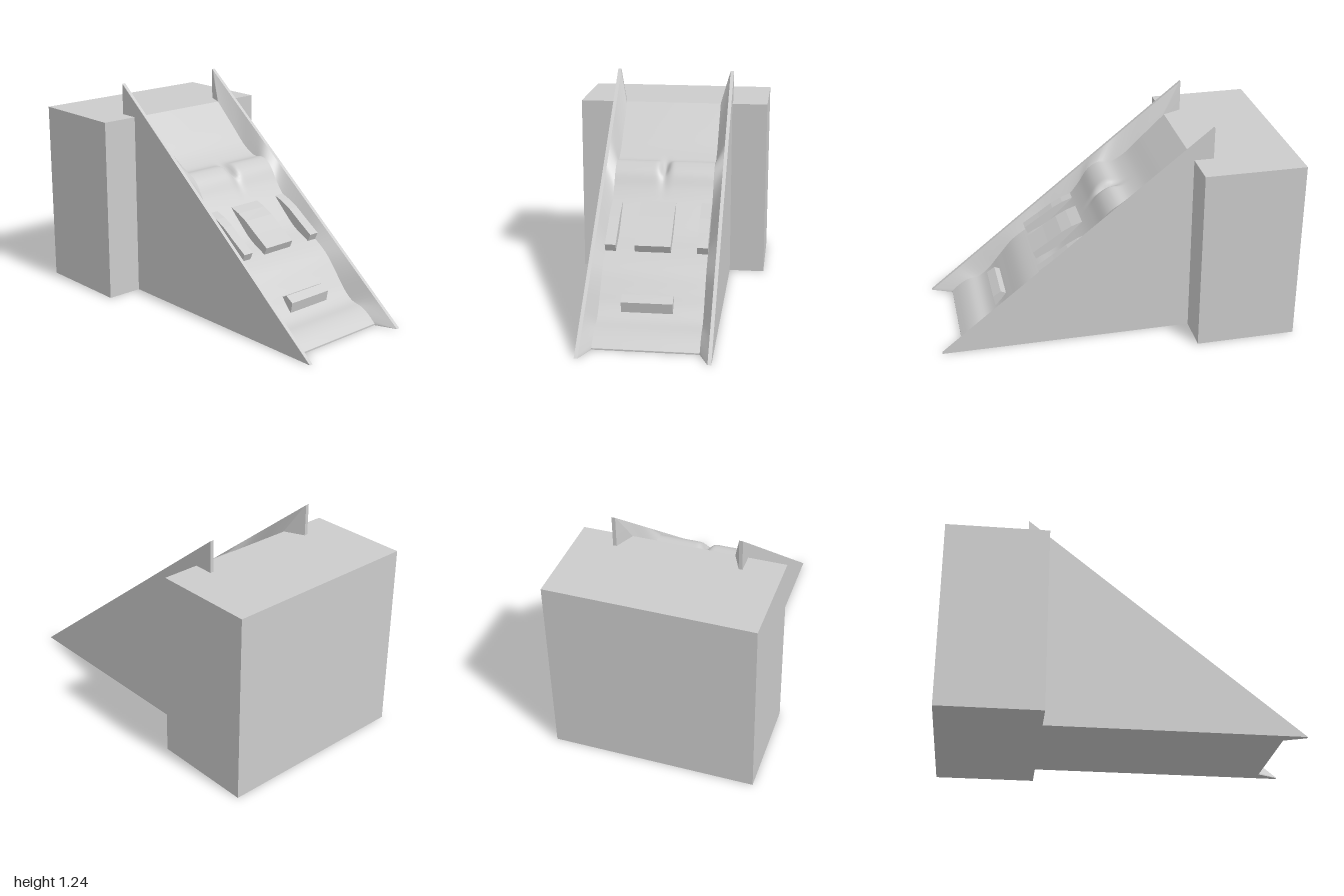
import * as THREE from 'three';

const material = new THREE.MeshStandardMaterial({ color: 0xcccccc, side: THREE.DoubleSide });
const V = (x, y, z = 0) => new THREE.Vector3(x, y, z);
const FLOOR_Z = 0.285, RIM_Z = 0.335, OUTER_Z = 0.355;

function add(group, name, geometry) {
  const mesh = new THREE.Mesh(geometry, material);
  mesh.name = name;
  group.add(mesh);
}

// Grid surface: place(i, j) gives the point in column i, row j
function sheet(cols, rows, place) {
  const g = new THREE.PlaneGeometry(1, 1, cols, rows);
  for (let j = 0; j <= rows; j++)
    for (let i = 0; i <= cols; i++) {
      const p = place(i, j);
      g.attributes.position.setXYZ(j * (cols + 1) + i, p.x, p.y, p.z);
    }
  g.computeVertexNormals();
  return g;
}

// Side profile (x, y) extruded from z0 to z1
function slab(points, z0, z1) {
  const shape = new THREE.Shape(points.map(([x, y]) => new THREE.Vector2(x, y)));
  return new THREE.ExtrudeGeometry(shape, { depth: z1 - z0, bevelEnabled: false }).translate(0, 0, z0);
}

export function createModel() {
  const group = new THREE.Group();

  // Tall block at the top of the slide
  add(group, 'platformBlock', new THREE.BoxGeometry(0.57, 1.06, 1.13).translate(-0.715, 0.53, 0));

  // Wavy slide floor with a small groove through the upper crest
  const curve = new THREE.CatmullRomCurve3([
    [-0.43, 1.06], [-0.3, 0.937], [-0.18, 0.825], [-0.1, 0.785], [-0.03, 0.79], [0.03, 0.755],
    [0.09, 0.665], [0.14, 0.6], [0.21, 0.53], [0.3, 0.45], [0.41, 0.39], [0.5, 0.325],
    [0.585, 0.225], [0.65, 0.145], [0.71, 0.097], [0.78, 0.08], [0.83, 0.052], [0.88, 0.01],
  ].map(([x, y]) => V(x, y)), false, 'centripetal');
  const N = 90;
  const path = curve.getSpacedPoints(N);
  const groove = (x, z) => 0.045 * Math.exp(-(((x + 0.01) / 0.06) ** 2) - ((z / 0.025) ** 2));
  add(group, 'slideFloor', sheet(N, 60, (i, j) => {
    const p = path[i], z = (j / 60 * 2 - 1) * FLOOR_Z;
    return V(p.x, p.y - groove(p.x, z), z);
  }));

  // Sloping inner walls from the floor edge to the straight rim
  const floorEdge = [path[0], ...path, V(0.88, 0)];
  const rim = [V(-0.54, 1.06), ...path.map((p) => {
    const t = (p.x + 0.43) / 1.31;
    return V(-0.54 + 1.54 * t, 1.24 * (1 - t));
  }), V(1, 0)];
  for (const side of [1, -1]) {
    const name = side > 0 ? 'left' : 'right';
    add(group, name + 'InnerWall', sheet(N + 2, 1, (i, j) => {
      const onFloor = (j === 0) === (side > 0);
      const p = (onFloor ? floorEdge : rim)[i];
      return V(p.x, p.y, side * (onFloor ? FLOOR_Z : RIM_Z));
    }));
    // Triangular outer wall
    const z0 = side > 0 ? RIM_Z : -OUTER_Z;
    add(group, name + 'OuterWall', slab([[-0.54, 0], [1, 0], [-0.54, 1.24]], z0, z0 + 0.02));
  }

  // Thin base plate with a notch between the wall tips
  const base = slab([[-0.54, -RIM_Z], [0.99, -RIM_Z], [0.88, -FLOOR_Z],
    [0.88, FLOOR_Z], [0.99, RIM_Z], [-0.54, RIM_Z]], 0, 0.008);
  add(group, 'basePlate', base.rotateX(Math.PI / 2).translate(0, 0.008, 0));

  // Three raised ramps across the middle
  const ramp = [[0.14, 0.6], [0.2, 0.578], [0.26, 0.546], [0.34, 0.49], [0.43, 0.43],
    [0.41, 0.385], [0.28, 0.42], [0.16, 0.55]];
  add(group, 'middleRamp', slab(ramp, -0.08, 0.12));
  add(group, 'leftRamp', slab(ramp, 0.225, FLOOR_Z));
  add(group, 'rightRamp', slab(ramp, -FLOOR_Z, -0.225));

  // Low ridge bar near the bottom
  add(group, 'lowerBar', slab([[0.585, 0.2], [0.63, 0.22], [0.675, 0.19], [0.66, 0.11], [0.6, 0.14]], -0.12, 0.16));

  return group;
}
